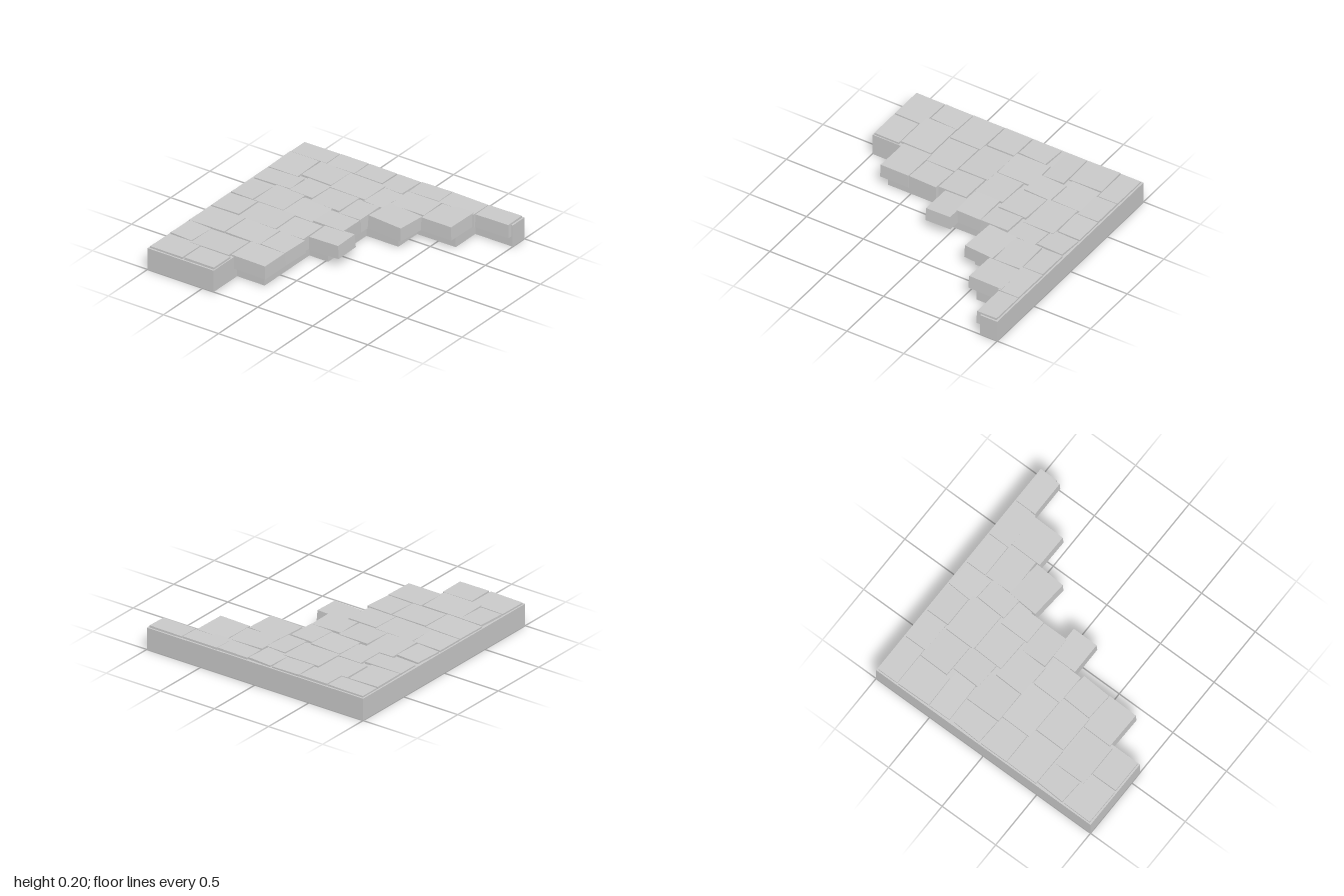
import * as THREE from 'three';

const material = new THREE.MeshStandardMaterial({ color: 0xcccccc, flatShading: true });

// small seeded generator for the uneven laying of the stones, -1..1
function seeded(seed) {
  return () => {
    seed = (seed * 16807) % 2147483647;
    return (seed / 2147483647) * 2 - 1;
  };
}

// slab with a stair-stepped free edge
function createBase() {
  const steps = [[-0.4, 1], [-0.4, 0.7], [-0.15, 0.7], [-0.15, 0.13], [0.02, 0.13], [0.02, -0.36],
    [0.31, -0.36], [0.31, -0.6], [0.66, -0.6], [0.66, -0.85], [1, -0.85], [1, -1]];
  const outline = [[-1, -1], [-1, 1], ...steps].map(([x, z]) => new THREE.Vector2(x, -z));
  const geometry = new THREE.ExtrudeGeometry(new THREE.Shape(outline), { depth: 0.18, bevelEnabled: false });
  geometry.rotateX(-Math.PI / 2);
  const base = new THREE.Mesh(geometry, material);
  base.name = 'steppedBase';
  return base;
}

// one paving stone, slightly narrower at the top
function createStone([x0, x1, z0, z1, yaw = 0], random) {
  const height = 0.108;
  const geometry = new THREE.BoxGeometry(x1 - x0, height, z1 - z0);
  const p = geometry.attributes.position;
  for (let i = 0; i < p.count; i++) {
    if (p.getY(i) > 0) {
      p.setX(i, p.getX(i) - Math.sign(p.getX(i)) * 0.004);
      p.setZ(i, p.getZ(i) - Math.sign(p.getZ(i)) * 0.004);
    }
  }
  geometry.computeVertexNormals();
  const stone = new THREE.Mesh(geometry, material);
  stone.position.set((x0 + x1) / 2, 0.141 + random() * 0.002, (z0 + z1) / 2);
  stone.rotation.set(random() * 0.022, THREE.MathUtils.degToRad(yaw), random() * 0.022, 'YXZ');
  stone.name = 'pavingStone';
  return stone;
}

export function createModel() {
  const model = new THREE.Group();
  model.name = 'pavingCorner';
  model.add(createBase());

  const random = seeded(4711);
  const addRow = (...stones) => {
    const row = new THREE.Group();
    row.name = 'stoneRow';
    stones.forEach((s) => row.add(createStone(s, random)));
    model.add(row);
  };

  // rows from back to front; each stone is x from, x to, z from, z to, turn in degrees
  addRow([-0.99, -0.66, -0.99, -0.81], [-0.66, -0.4, -0.99, -0.8], [-0.4, -0.145, -0.99, -0.79],
    [-0.14, 0.075, -0.985, -0.75, -3], [0.08, 0.36, -0.99, -0.81], [0.355, 0.685, -0.99, -0.8, -1],
    [0.685, 0.99, -0.99, -0.81]);
  addRow([-0.99, -0.72, -0.81, -0.52, 1], [-0.715, -0.435, -0.81, -0.555, -1], [-0.435, -0.1, -0.79, -0.52, -1],
    [-0.1, 0.085, -0.75, -0.49, -3], [0.08, 0.39, -0.81, -0.57, 1], [0.39, 0.67, -0.83, -0.535, -1]);
  addRow([-0.985, -0.65, -0.52, -0.33, 1], [-0.65, -0.43, -0.55, -0.31, -2], [-0.43, -0.15, -0.52, -0.265, -2],
    [-0.15, 0.055, -0.49, -0.24, -1], [0.065, 0.38, -0.575, -0.315, -4]);
  addRow([-0.985, -0.775, -0.29, -0.04, -3], [-0.775, -0.5, -0.33, -0.03], [-0.5, -0.22, -0.27, -0.015, -2],
    [-0.225, 0.05, -0.24, -0.02]);
  addRow([-0.99, -0.73, -0.035, 0.21], [-0.73, -0.38, -0.035, 0.23, -1], [-0.38, -0.12, -0.01, 0.24, -1],
    [-0.12, 0.15, -0.04, 0.18]);
  addRow([-0.99, -0.66, 0.215, 0.49, -1], [-0.66, -0.34, 0.23, 0.49, -1], [-0.34, -0.105, 0.24, 0.49, -3]);
  addRow([-0.985, -0.78, 0.49, 0.735, -3], [-0.78, -0.425, 0.5, 0.77], [-0.425, -0.11, 0.49, 0.745, -1]);
  addRow([-0.99, -0.685, 0.74, 0.99, -1], [-0.68, -0.405, 0.77, 0.99]);

  return model;
}
